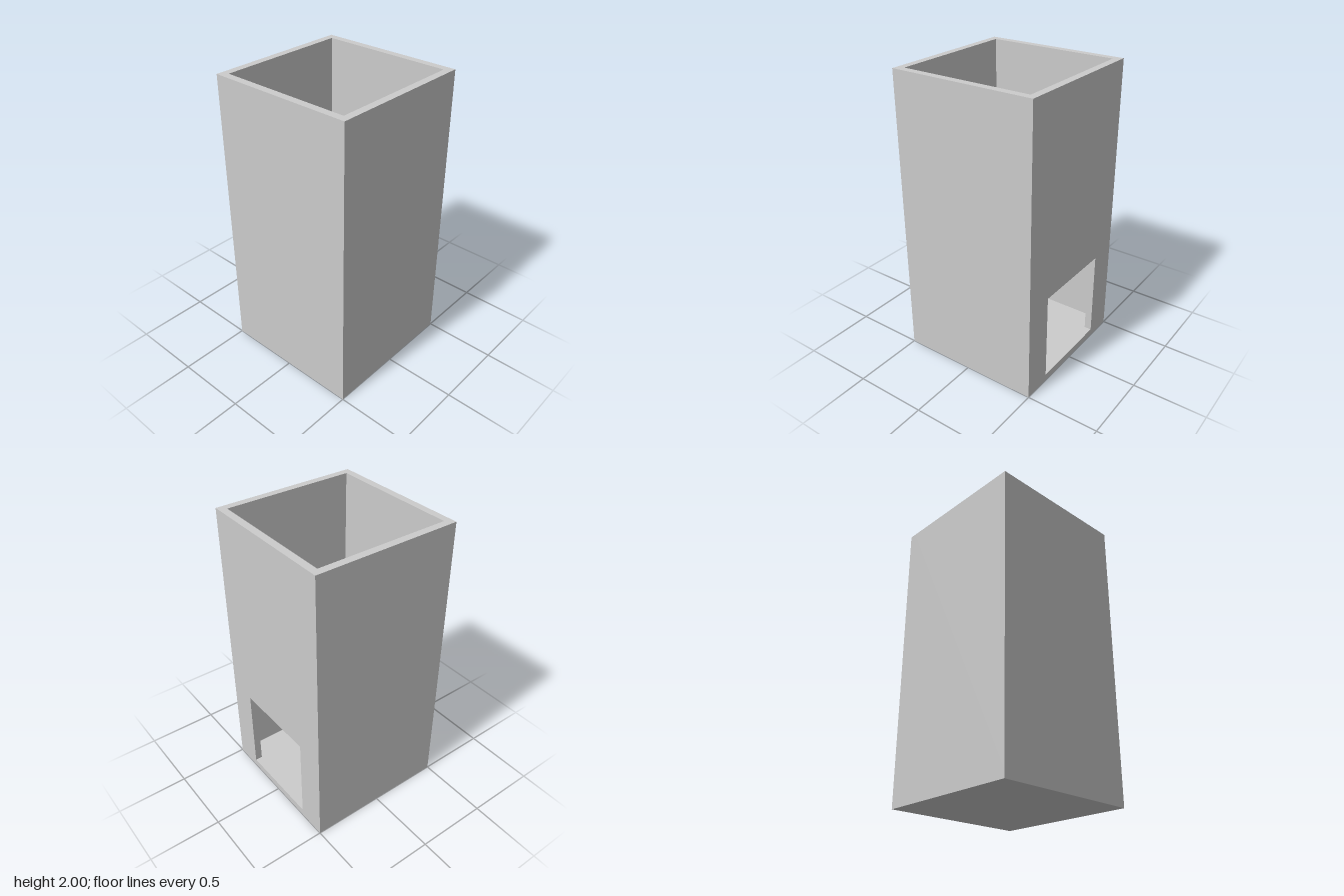
import * as THREE from 'three';

const W = 0.5;          // half width of the tower
const T = 0.05;         // wall and floor thickness
const H = 2;            // total height
const DOOR_W = 0.3;     // half width of the doorway
const DOOR_TOP = 0.655; // top of the doorway

const outline = (points) => new THREE.Shape(points.map(([x, y]) => new THREE.Vector2(x, y)));
const extrude = (shape, depth) => new THREE.ExtrudeGeometry(shape, { depth, bevelEnabled: false });

export function createModel() {
  const group = new THREE.Group();
  const material = new THREE.MeshStandardMaterial({ color: 0xcccccc });
  const add = (name, geometry) => {
    const mesh = new THREE.Mesh(geometry, material);
    mesh.name = name;
    group.add(mesh);
  };

  // Floor slab under all the walls
  add('floor', new THREE.BoxGeometry(2 * W, T, 2 * W).translate(0, T / 2, 0));

  // Front, back and right walls: a U-shaped plan raised to the rim
  const inner = W - T;
  const plan = outline([
    [inner, -W], [inner, -inner], [-inner, -inner], [-inner, inner],
    [inner, inner], [inner, W], [-W, W], [-W, -W],
  ]);
  add('closedWalls', extrude(plan, H - T).rotateX(-Math.PI / 2).translate(0, T, 0));

  // Left wall with a square doorway whose sill is level with the floor
  const doorWall = outline([
    [-W, T], [-DOOR_W, T], [-DOOR_W, DOOR_TOP], [DOOR_W, DOOR_TOP],
    [DOOR_W, T], [W, T], [W, H], [-W, H],
  ]);
  add('doorwayWall', extrude(doorWall, T).rotateY(Math.PI / 2).translate(inner, 0, 0));

  return group;
}
